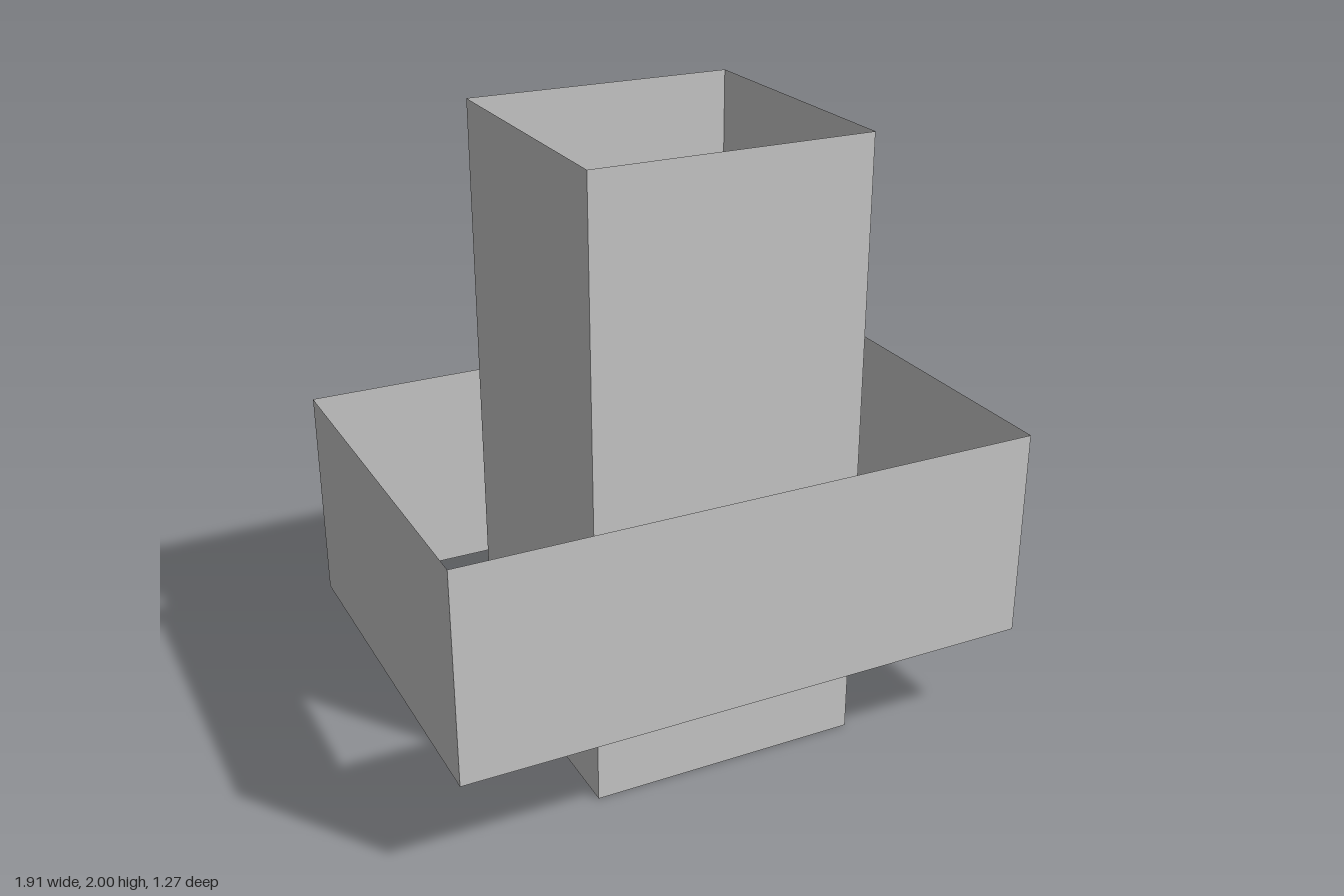
import * as THREE from 'three';

const material = new THREE.MeshStandardMaterial({
  color: 0xcccccc, flatShading: true, side: THREE.DoubleSide,
});

// Four thin upright walls, open at top and bottom
function openSleeve(name, width, depth, bottom, top) {
  const geometry = new THREE.CylinderGeometry(Math.SQRT1_2, Math.SQRT1_2, 1, 4, 1, true);
  geometry.rotateY(Math.PI / 4);
  geometry.scale(width, top - bottom, depth);
  geometry.translate(0, (bottom + top) / 2, 0);
  const mesh = new THREE.Mesh(geometry, material);
  mesh.name = name;
  return mesh;
}

export function createModel() {
  const model = new THREE.Group();
  model.name = 'nestedSleeves';

  // Tall square shaft
  model.add(openSleeve('innerShaft', 0.895, 0.895, 0, 2));

  // Wide rectangular band around the shaft
  model.add(openSleeve('outerBand', 1.91, 1.27, 0.333, 1.027));

  return model;
}
